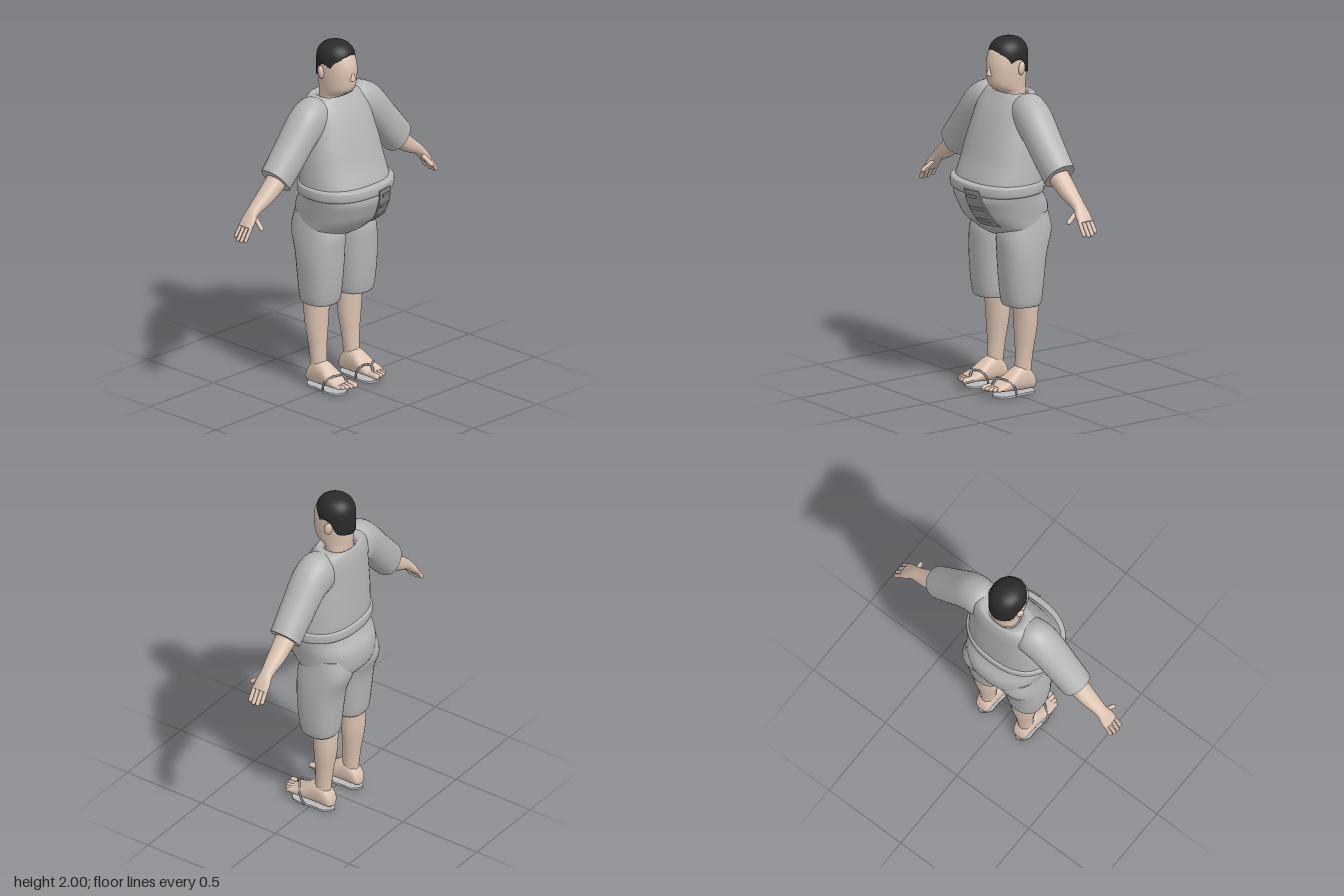
import * as THREE from 'three';

const paint = (name, color, side = THREE.FrontSide) => {
  const m = new THREE.MeshStandardMaterial({ color, side });
  m.name = name;
  return m;
};
const skin = paint('skin', 0xdcc3b1);
const cloth = paint('greyCloth', 0xb5b5b5);
const hair = paint('blackHair', 0x2a2a2a, THREE.DoubleSide);
const strapGrey = paint('sandalStrap', 0x92979b);
const soleGrey = paint('sandalSole', 0xb9bcbe);
const tagGrey = paint('tagGrey', 0x929292);

function mesh(name, geometry, material, parent) {
  const m = new THREE.Mesh(geometry, material);
  m.name = name;
  parent.add(m);
  return m;
}

function surface(pos, idx) {
  const g = new THREE.BufferGeometry();
  g.setAttribute('position', new THREE.Float32BufferAttribute(pos, 3));
  g.setIndex(idx);
  g.computeVertexNormals();
  return g;
}

// Linear lookup in [[key, value], ...]
function lookup(table, k) {
  for (let i = 1; i < table.length; i++) {
    const [k0, v0] = table[i - 1], [k1, v1] = table[i];
    if (k <= k1) return v0 + (v1 - v0) * Math.max(0, (k - k0) / (k1 - k0));
  }
  return table[table.length - 1][1];
}

// Capped skin over oval sections [ax, ay, bx, by, zFront, zBack]:
// a and b are opposite ends of each oval, smoothed along the length.
function loft(sections, power = 2.2, n = 32, sub = 3) {
  const A = new THREE.CatmullRomCurve3(sections.map(s => new THREE.Vector3(s[0], s[1], s[4])), false, 'catmullrom');
  const B = new THREE.CatmullRomCurve3(sections.map(s => new THREE.Vector3(s[2], s[3], s[5])), false, 'catmullrom');
  const rows = (sections.length - 1) * sub, pos = [], idx = [];
  const bend = v => Math.sign(v) * Math.abs(v) ** (2 / power);
  for (let i = 0; i <= rows; i++) {
    const a = A.getPoint(i / rows), b = B.getPoint(i / rows);
    for (let j = 0; j < n; j++) {
      const t = j / n * Math.PI * 2, c = bend(Math.cos(t)), s = bend(Math.sin(t));
      pos.push((a.x + b.x) / 2 + (a.x - b.x) / 2 * c, (a.y + b.y) / 2 + (a.y - b.y) / 2 * c,
        (a.z + b.z) / 2 + (a.z - b.z) / 2 * s);
      const k = (j + 1) % n;
      if (i < rows) idx.push(i * n + j, i * n + k, i * n + n + j, i * n + k, i * n + n + k, i * n + n + j);
    }
  }
  for (const row of [0, rows]) {
    const base = pos.length / 3, mid = [0, 0, 0];
    for (let j = 0; j < n; j++) for (let d = 0; d < 3; d++) {
      const v = pos[(row * n + j) * 3 + d];
      pos.push(v);
      mid[d] += v / n;
    }
    pos.push(...mid);
    for (let j = 0; j < n; j++) {
      const k = (j + 1) % n;
      idx.push(base + n, ...(row ? [base + j, base + k] : [base + k, base + j]));
    }
  }
  // Turn the faces outward
  const v = i => new THREE.Vector3().fromArray(pos, idx[i] * 3);
  let volume = 0;
  for (let i = 0; i < idx.length; i += 3) volume += v(i).dot(v(i + 1).cross(v(i + 2)));
  if (volume < 0) idx.reverse();
  return surface(pos, idx);
}

// Upright loft from [y, halfWidth, zFront, zBack]
const stack = (rows, power, sub) => loft(rows.map(([y, w, f, b]) => [w, y, -w, y, f, b]), power, 40, sub);

// Rounded finger or toe between two points
function digit(name, a, b, r, parent) {
  const p = new THREE.Vector3(...a), q = new THREE.Vector3(...b), d = q.clone().sub(p);
  const m = mesh(name, new THREE.CapsuleGeometry(r, d.length(), 4, 10), skin, parent);
  m.position.copy(p).add(q).multiplyScalar(0.5);
  m.quaternion.setFromUnitVectors(new THREE.Vector3(0, 1, 0), d.normalize());
}

// Cap of hair with a hairline that changes around the head
function hairGeometry() {
  const line = [[0, 1.94], [0.5, 1.93], [1.06, 1.862], [1.5, 1.89], [1.9, 1.875], [2.15, 1.805], [Math.PI, 1.788]];
  const n = 48, rows = 14, pos = [], idx = [];
  for (let i = 0; i <= rows; i++) for (let j = 0; j < n; j++) {
    const t = j / n * Math.PI * 2, edge = lookup(line, Math.min(t, Math.PI * 2 - t));
    const y = edge + (2 - edge) * Math.sin(Math.max(0, i - 1) / (rows - 1) * Math.PI / 2);
    const rise = THREE.MathUtils.clamp((y - 1.9) / 0.1, 0, 1);
    const r = (1 - rise ** 2.3) ** 0.43 * (i ? 1 : 0.9);
    pos.push(0.102 * r * Math.sin(t), y, -0.05 + 0.113 * r * Math.cos(t));
    const a = i * n + j, b = i * n + (j + 1) % n;
    if (i < rows) idx.push(a, b, a + n, b, b + n, a + n);
  }
  return surface(pos, idx);
}

// Slanted panel wrapped on the belly
function bellyPanel(w, h, x, y, lift) {
  const belly = [[0.93, 0.11], [1, 0.193], [1.07, 0.23], [1.13, 0.252], [1.2, 0.262]];
  const g = new THREE.BoxGeometry(w, h, 0.009, 6, 8, 1), p = g.attributes.position;
  for (let i = 0; i < p.count; i++) {
    const py = p.getY(i) + y, px = p.getX(i) * (1 + (1.08 - py)) + x + (1.08 - py) * 0.2;
    p.setXYZ(i, px, py, p.getZ(i) + lift + lookup(belly, py) - 1.4 * px * px);
  }
  g.computeVertexNormals();
  return g;
}

function arm() {
  const g = new THREE.Group();
  g.name = 'leftArm';
  mesh('sleeve', loft([
    [0.12, 1.69, 0.12, 1.45, 0.04, -0.15], [0.18, 1.712, 0.2, 1.455, 0.045, -0.157],
    [0.24, 1.698, 0.225, 1.44, 0.05, -0.155], [0.31, 1.65, 0.27, 1.395, 0.05, -0.15],
    [0.41, 1.53, 0.345, 1.31, 0.045, -0.143], [0.54, 1.38, 0.415, 1.235, 0.037, -0.135]]), cloth, g);
  mesh('forearm', loft([
    [0.42, 1.43, 0.36, 1.33, 0.01, -0.11], [0.495, 1.355, 0.43, 1.265, 0.01, -0.107],
    [0.585, 1.27, 0.535, 1.195, 0, -0.1], [0.665, 1.2, 0.63, 1.152, -0.014, -0.088],
    [0.703, 1.15, 0.673, 1.112, -0.004, -0.097], [0.728, 1.108, 0.705, 1.085, -0.004, -0.098]]), skin, g);
  [[-0.012, 0.752, 1.04], [-0.038, 0.758, 1.034], [-0.064, 0.757, 1.036], [-0.089, 0.748, 1.048]].forEach(([z, x, y], i) =>
    digit('finger' + (i + 1), [0.71, 1.105, z * 0.97], [x, y, z], 0.0115, g));
  digit('thumb', [0.66, 1.14, -0.02], [0.672, 1.1, 0.033], 0.013, g);
  return g;
}

function leg() {
  const g = new THREE.Group();
  g.name = 'leftLeg';
  mesh('trouserLeg', loft([
    [0.225, 1.03, 0.03, 1.03, 0.04, -0.2], [0.243, 0.92, 0, 0.92, 0.088, -0.225],
    [0.254, 0.8, 0.004, 0.8, 0.088, -0.182], [0.25, 0.65, 0.014, 0.65, 0.08, -0.162],
    [0.236, 0.52, 0.026, 0.52, 0.063, -0.147], [0.215, 0.515, 0.046, 0.515, 0.045, -0.13]], 2.4), cloth, g);
  mesh('shin', loft([
    [0.21, 0.6, 0.05, 0.6, -0.002, -0.14], [0.207, 0.5, 0.053, 0.5, -0.004, -0.14],
    [0.2, 0.38, 0.058, 0.38, -0.01, -0.135], [0.182, 0.25, 0.075, 0.25, -0.014, -0.115],
    [0.174, 0.16, 0.084, 0.16, -0.01, -0.105], [0.17, 0.1, 0.09, 0.1, -0.01, -0.1]], 2), skin, g);

  const foot = new THREE.Group();
  foot.name = 'foot';
  foot.position.x = 0.13;
  g.add(foot);
  // Foot sections run from heel to ball: [z, top, bottom, halfWidth]
  const sections = [[-0.126, 0.065, 0.03, 0.025], [-0.11, 0.11, 0.021, 0.043], [-0.06, 0.16, 0.02, 0.05],
    [0, 0.152, 0.022, 0.054], [0.06, 0.108, 0.029, 0.061], [0.11, 0.082, 0.036, 0.064], [0.14, 0.07, 0.041, 0.058]];
  mesh('footBody', loft(sections.map(([z, t, b, w]) => [z, t, z, b, w, -w]), 2.4).rotateY(-Math.PI / 2), skin, foot);
  [[-0.043, 0.176, 0.018], [-0.014, 0.177, 0.0135], [0.01, 0.171, 0.013], [0.032, 0.16, 0.012], [0.05, 0.145, 0.0115]]
    .forEach(([x, z, r], i) => digit('toe' + (i + 1), [x, 0.058, 0.115], [x, 0.054, z], r, foot));

  // Sandal sole and thong strap
  const outline = new THREE.Shape(new THREE.SplineCurve([[0, 0.14], [0.045, 0.12], [0.06, 0.06], [0.05, -0.03],
    [0.048, -0.09], [0, -0.132], [-0.048, -0.09], [-0.05, -0.03], [-0.06, 0.06], [-0.045, 0.12], [0, 0.14]]
    .map(p => new THREE.Vector2(...p))).getPoints(40));
  mesh('sole', new THREE.ExtrudeGeometry(outline, { depth: 0.012, bevelEnabled: false })
    .rotateX(Math.PI / 2).translate(0, 0.012, 0), soleGrey, foot);
  for (const s of [-1, 1]) {
    const path = new THREE.CatmullRomCurve3([[-0.028, 0.05, 0.14], [-0.022, 0.1, 0.118], [s * 0.035 - 0.008, 0.1, 0.085],
      [s * 0.064, 0.07, 0.055], [s * 0.066, 0.035, 0.04], [s * 0.055, 0.008, 0.03]].map(p => new THREE.Vector3(...p)));
    mesh('strap', new THREE.TubeGeometry(path, 24, 0.006, 8), strapGrey, foot);
  }
  return g;
}

// Mirrored copy with its geometry flipped so faces stay outward
function mirrored(group, name) {
  const out = new THREE.Group();
  out.name = name;
  group.updateMatrixWorld(true);
  group.traverse(o => {
    if (!o.isMesh) return;
    const g = o.geometry.clone().applyMatrix4(o.matrixWorld).scale(-1, 1, 1);
    g.clearGroups();
    const order = g.index ? [...g.index.array] : [...Array(g.attributes.position.count).keys()];
    g.setIndex(order.reverse());
    g.computeVertexNormals();
    mesh(o.name, g, o.material, out);
  });
  return out;
}

export function createModel() {
  const model = new THREE.Group();
  model.name = 'standingMan';

  // Head
  mesh('headAndNeck', stack([[1.62, 0.085, 0, -0.14], [1.69, 0.083, 0.008, -0.145], [1.72, 0.086, 0.05, -0.148],
    [1.75, 0.09, 0.072, -0.152], [1.8, 0.095, 0.079, -0.155], [1.86, 0.097, 0.08, -0.156],
    [1.92, 0.092, 0.064, -0.152], [1.96, 0.074, 0.03, -0.125], [1.98, 0.035, -0.01, -0.085]], 2.05), skin, model);
  mesh('hair', hairGeometry(), hair, model);
  const nose = mesh('nose', new THREE.ConeGeometry(0.021, 0.065, 12), skin, model);
  nose.position.set(0, 1.831, 0.076);
  for (const s of [-1, 1]) {
    const ear = mesh(s > 0 ? 'leftEar' : 'rightEar', new THREE.SphereGeometry(1, 16, 12), skin, model);
    ear.scale.set(0.015, 0.038, 0.024);
    ear.position.set(s * 0.101, 1.835, -0.068);
    ear.rotation.set(-0.15, s * 0.35, 0);
  }

  // Shirt, belt and trousers
  mesh('shirt', stack([[1.16, 0.262, 0.225, -0.19], [1.22, 0.262, 0.217, -0.192], [1.32, 0.252, 0.178, -0.192],
    [1.42, 0.24, 0.148, -0.19], [1.52, 0.222, 0.115, -0.188], [1.61, 0.21, 0.078, -0.186],
    [1.665, 0.19, 0.045, -0.178], [1.698, 0.15, 0.025, -0.168], [1.694, 0.105, 0.018, -0.157],
    [1.67, 0.09, 0, -0.145]], 2.4), cloth, model);
  mesh('belt', stack([[1.15, 0.255, 0.23, -0.18], [1.156, 0.272, 0.245, -0.198], [1.17, 0.28, 0.254, -0.206],
    [1.205, 0.28, 0.254, -0.206], [1.216, 0.274, 0.247, -0.2], [1.22, 0.255, 0.225, -0.185]], 2.3, 2), cloth, model);
  mesh('trouserSeat', stack([[1.18, 0.262, 0.235, -0.19], [1.13, 0.254, 0.244, -0.208], [1.07, 0.245, 0.222, -0.242],
    [1, 0.234, 0.185, -0.248], [0.94, 0.228, 0.115, -0.235], [0.9, 0.19, 0.06, -0.2],
    [0.87, 0.1, 0, -0.12]], 2.3), cloth, model);

  // Folded tag hanging from the belt
  const tag = new THREE.Group();
  tag.name = 'beltTag';
  model.add(tag);
  mesh('tagPlate', bellyPanel(0.115, 0.21, 0.093, 1.085, 0.004), tagGrey, tag);
  for (const [w, y] of [[0.07, 1.155], [0.085, 1.085], [0.07, 1.015]])
    mesh('tagFold', bellyPanel(w, 0.018, 0.093, y, 0.011), tagGrey, tag);

  // Limbs
  for (const left of [arm(), leg()]) model.add(left, mirrored(left, left.name.replace('left', 'right')));
  return model;
}
